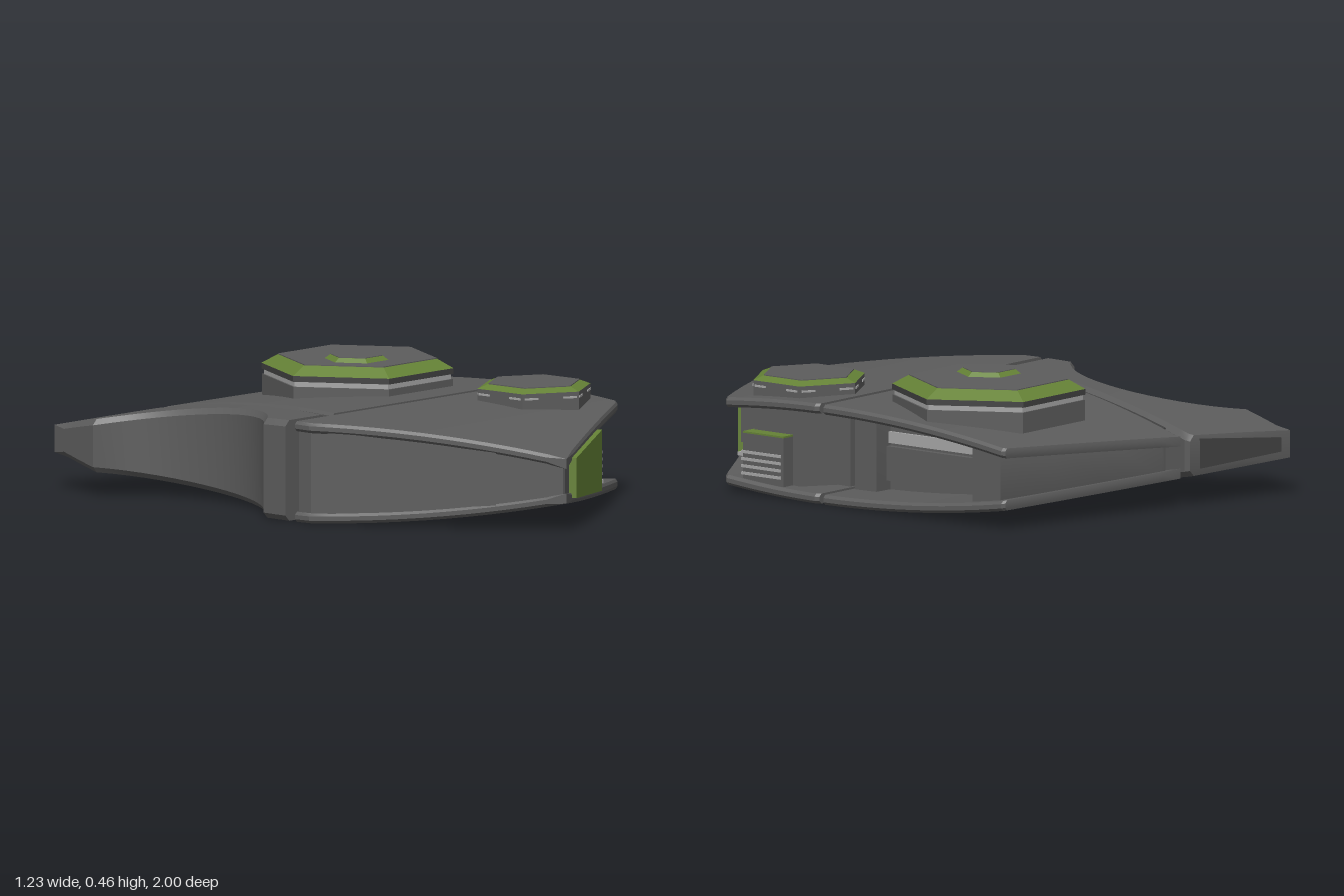
import * as THREE from 'three';
import { toCreasedNormals } from 'three/addons/utils/BufferGeometryUtils.js';

const mat = (name, color) => {
  const m = new THREE.MeshStandardMaterial({ color });
  m.name = name;
  return m;
};

// Hull surfaces: thickest at the seam, curving thinner towards both ends
const taper = (z) => (z > 0.12 ? ((z - 0.12) / 0.88) ** 2 : ((0.12 - z) / 1.12) ** 2);
const top = (z) => 0.35 - (z > 0.12 ? 0.095 : 0.125) * taper(z);
const bottom = (z) => (z > 0.12 ? 0.1 : 0.13) * taper(z);
const PLATE = 0.035;

// Reads x from a list of [z, x] points
function sample(line, z) {
  for (let i = 1; i < line.length; i++) {
    const [z0, x0] = line[i - 1], [z1, x1] = line[i];
    if (z <= z1) return x0 + (x1 - x0) * Math.max(0, (z - z0) / (z1 - z0));
  }
  return line[line.length - 1][1];
}

// Solid between a left and a right outline, made of chamfered sections along z
function slab(left, right, low, high, chamfer = 0.01) {
  const breaks = [...new Set([...left, ...right].map((p) => p[0]))].sort((a, b) => a - b);
  const zs = [breaks[0]];
  for (let i = 1; i < breaks.length; i++) {
    const span = breaks[i] - breaks[i - 1], n = Math.ceil(span / 0.07);
    for (let k = 1; k <= n; k++) zs.push(breaks[i - 1] + (span * k) / n);
  }
  const rings = zs.map((z) => {
    const l = sample(left, z), r = sample(right, z), b = low(z), t = high(z);
    const c = Math.min(chamfer, (r - l) / 2);
    return [[l + c, b], [r - c, b], [r, b + c], [r, t - c], [r - c, t], [l + c, t], [l, t - c], [l, b + c]]
      .map(([x, y]) => [x, y, z]);
  });
  const pos = [];
  const tri = (a, b, c) => pos.push(...a, ...b, ...c);
  for (let i = 0; i + 1 < rings.length; i++) {
    for (let j = 0; j < 8; j++) {
      const k = (j + 1) % 8, A = rings[i], B = rings[i + 1];
      tri(A[j], A[k], B[k]);
      tri(A[j], B[k], B[j]);
    }
  }
  const first = rings[0], last = rings[rings.length - 1];
  for (let j = 1; j < 7; j++) {
    tri(first[0], first[j + 1], first[j]);
    tri(last[0], last[j], last[j + 1]);
  }
  const g = new THREE.BufferGeometry();
  g.setAttribute('position', new THREE.Float32BufferAttribute(pos, 3));
  return toCreasedNormals(g, 0.4);
}

// Upright panel from a to b in plan, with its own heights at each end
function panel(a, b, ya, yb, inward, outward) {
  const dx = b[0] - a[0], dz = b[1] - a[1], len = Math.hypot(dx, dz);
  const shape = new THREE.Shape([[0, ya[0]], [len, yb[0]], [len, yb[1]], [0, ya[1]]]
    .map((p) => new THREE.Vector2(...p)));
  const g = new THREE.ExtrudeGeometry(shape, { depth: inward + outward, bevelEnabled: false });
  return g.translate(0, 0, -inward).rotateY(Math.atan2(-dz, dx)).translate(a[0], 0, a[1]);
}

// Six-sided prism or frustum
function hex(x, z, y0, y1, r0, r1, turn = 0) {
  const g = new THREE.CylinderGeometry(r1, r0, y1 - y0, 6).rotateY(turn).toNonIndexed();
  g.computeVertexNormals();
  return g.translate(x, (y0 + y1) / 2, z);
}

export function createModel() {
  const model = new THREE.Group();
  model.name = 'armouredHull';
  const grey = mat('hull grey', 0x5c5c5c);
  const dark = mat('dark grey', 0x414141);
  const green = mat('olive green', 0x658236);
  const light = mat('light grey', 0xa6a6a6);

  const add = (name, geo, material) => {
    const m = new THREE.Mesh(geo, material);
    m.name = name;
    model.add(m);
    return m;
  };
  const box = (name, x0, x1, y0, y1, z0, z1, material) =>
    add(name, new THREE.BoxGeometry(x1 - x0, y1 - y0, z1 - z0)
      .translate((x0 + x1) / 2, (y0 + y1) / 2, (z0 + z1) / 2), material);
  // Top and bottom armour plates with a core between them
  const section = (name, plateL, plateR, coreL, coreR) => {
    add(name + 'TopPlate', slab(plateL, plateR, (z) => top(z) - PLATE, top), grey);
    add(name + 'BottomPlate', slab(plateL, plateR, bottom, (z) => bottom(z) + PLATE), grey);
    add(name + 'Core', slab(coreL, coreR, (z) => bottom(z) + 0.025, (z) => top(z) - 0.025, 0.001), grey);
  };

  // Front section: pointed wedge, open on its right flank
  section('front',
    [[0.135, -0.61], [0.2, -0.61], [1, -0.18]],
    [[0.135, 0.6], [0.15, 0.61], [0.54, 0.61], [0.56, 0.59], [1, -0.18]],
    [[0.145, -0.6], [0.2, -0.6], [0.985, -0.18]],
    [[0.145, 0.42], [0.5, 0.42], [0.66, 0.3], [0.69, 0.2], [0.75, 0.22], [0.985, -0.17]]);

  // Main rear section: open on the right, inset along the back
  section('main',
    [[-0.88, -0.12], [0.11, -0.385]],
    [[-0.88, -0.12], [-0.86, -0.04], [-0.69, 0.6], [-0.68, 0.61], [0.11, 0.61]],
    [[-0.83, -0.1], [0.1, -0.375]],
    [[-0.83, -0.08], [-0.645, 0.57], [-0.52, 0.57], [-0.515, 0.38], [0, 0.38], [0.005, 0.45], [0.1, 0.45]]);

  // Side section with the round cut-out
  const arc = [];
  for (let i = 0; i <= 16; i++) {
    const a = -0.949 + (1.898 * i) / 16;
    arc.push([-0.39 + 0.48 * Math.sin(a), -0.9 + 0.48 * Math.cos(a)]);
  }
  add('cutOutSection', slab([[-1, -0.57], ...arc, [0.1, -0.62]],
    [[-1, -0.57], [-0.89, -0.16], [-0.87, -0.155], [0.1, -0.41]], bottom, top, 0.02), grey);
  add('rearRecess', panel([-0.2, -0.9], [-0.53, -0.99], [0.13, 0.235], [0.155, 0.205], 0.004, 0.004), dark);

  // Joints in the gaps between sections
  const gap = (z, off) => [z, -0.137 - 0.265 * (z + 0.88) + off];
  add('diagonalJoint', slab([gap(-0.76, -0.03), gap(0.02, -0.03)], [gap(-0.76, 0.03), gap(0.02, 0.03)],
    (z) => bottom(z) + 0.02, (z) => top(z) - 0.015, 0.002), dark);
  box('crossJoint', -0.3, 0.08, 0.03, 0.33, 0.09, 0.16, dark);

  // Side panels of the front section
  add('greenPanel', panel([-0.098, 0.956], [0.28, 0.742], [0.106, 0.246], [0.07, 0.282], 0.07, 0.014), green);
  add('sidePanel', panel([-0.57, 0.25], [-0.29, 0.775], [0.035, 0.322], [0.085, 0.268], 0.02, 0.006), grey);

  // Fittings in the right opening of the front section
  add('turretPillar', hex(0.37, 0.37, 0.03, 0.33, 0.2, 0.2), grey);
  box('openingBlock', 0.22, 0.3, 0.11, 0.25, 0.64, 0.73, grey);
  box('openingStrip', 0.27, 0.38, 0.08, 0.092, 0.58, 0.68, light);
  box('ventBox', 0.53, 0.595, 0.03, 0.21, 0.3, 0.48, grey);
  box('ventCap', 0.53, 0.595, 0.21, 0.216, 0.3, 0.48, green);
  for (let i = 0; i < 4; i++) {
    const y = 0.065 + i * 0.025;
    box('ventSlat', 0.54, 0.599, y, y + 0.01, 0.31, 0.484, light);
  }

  // Fittings in the right opening of the main section
  box('wallStrip', 0.37, 0.39, 0.2, 0.24, -0.5, 0, light);
  box('wallRib', 0.37, 0.4, 0.07, 0.19, -0.5, 0, grey);

  // Large hexagonal turret with a small hatch
  const turn = Math.PI / 6;
  add('largeTurretBase', hex(0.225, -0.31, 0.3, 0.372, 0.335, 0.335, turn), grey);
  add('largeTurretBand', hex(0.225, -0.31, 0.37, 0.392, 0.328, 0.328, turn), light);
  add('largeTurretCollar', hex(0.225, -0.31, 0.39, 0.41, 0.337, 0.337, turn), dark);
  add('largeTurretRim', hex(0.225, -0.31, 0.41, 0.441, 0.337, 0.28, turn), green);
  add('largeTurretTop', hex(0.225, -0.31, 0.438, 0.444, 0.278, 0.278, turn), grey);
  add('hatchRim', hex(0.163, -0.26, 0.444, 0.458, 0.112, 0.093, turn), green);
  add('hatchTop', hex(0.163, -0.26, 0.456, 0.46, 0.091, 0.091, turn), grey);

  // Small hexagonal turret
  add('smallTurretBase', hex(0.37, 0.37, 0.31, 0.388, 0.205, 0.205), grey);
  add('smallTurretRim', hex(0.37, 0.37, 0.388, 0.402, 0.205, 0.168), green);
  add('smallTurretTop', hex(0.37, 0.37, 0.4, 0.405, 0.166, 0.166), grey);
  for (let i = 0; i < 6; i++) {
    for (const s of [-0.07, 0.07]) {
      const slot = new THREE.BoxGeometry(0.05, 0.007, 0.006).translate(s, 0.37, 0.178);
      add('turretSlot', slot.rotateY(turn + (i * Math.PI) / 3).translate(0.37, 0, 0.37), light);
    }
  }
  return model;
}
